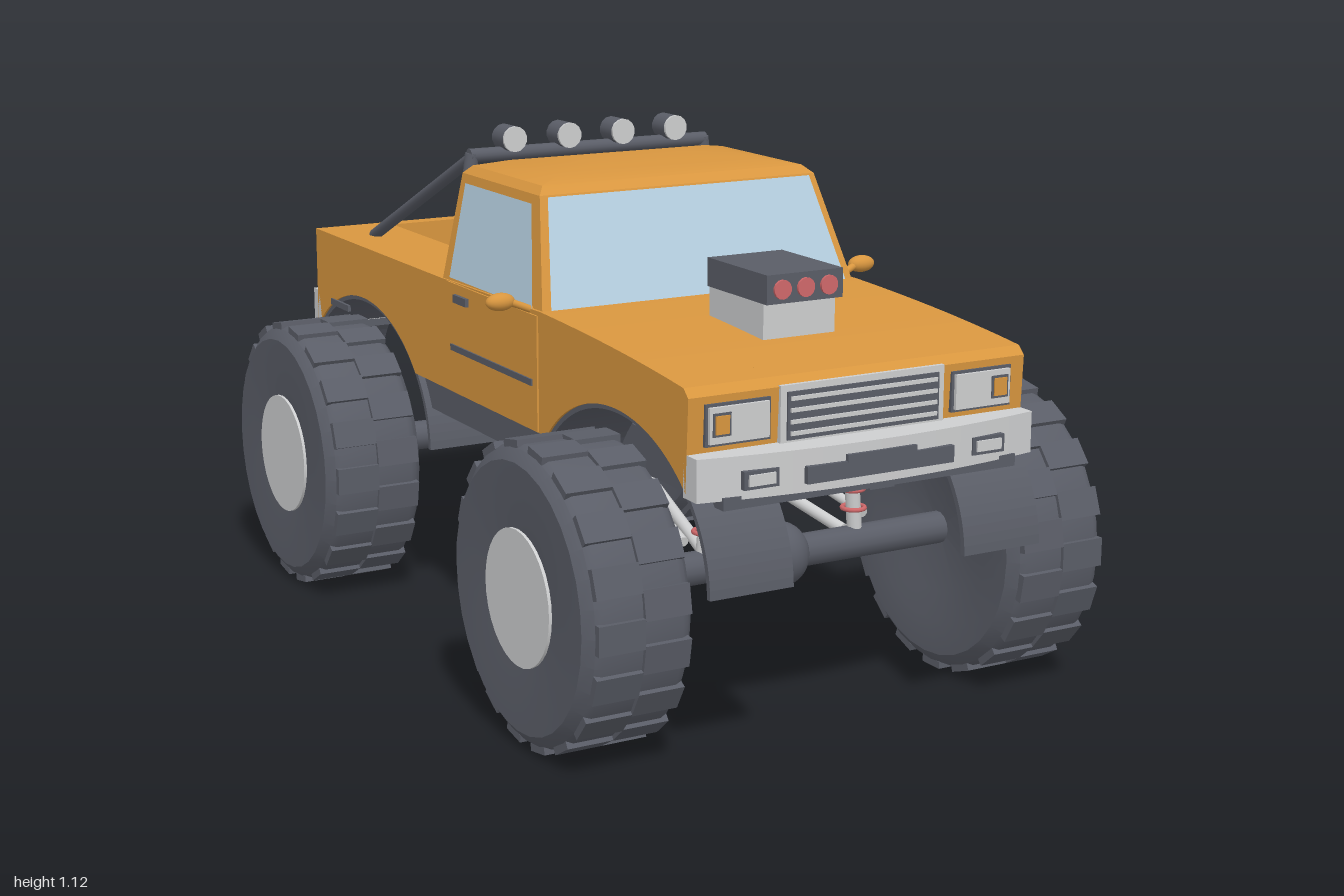
import * as THREE from 'three';
import { mergeGeometries, toCreasedNormals } from 'three/addons/utils/BufferGeometryUtils.js';

const flat = (name, color) => Object.assign(new THREE.MeshStandardMaterial({ color }), { name });

export function createModel() {
  const paint = flat('orange paint', 0xd8963f);
  const dark = flat('dark grey', 0x5a5d67);
  const light = flat('light grey', 0xcdcecf);
  const glass = flat('window glass', 0xb5cfe0);
  const red = flat('red', 0xd0686a);
  const root = new THREE.Group();
  root.name = 'monsterTruck';

  const add = (name, geo, mat, parent = root) => {
    const m = new THREE.Mesh(geo, mat);
    m.name = name;
    parent.add(m);
    return m;
  };
  // box given by its min and max on each axis
  const box = (name, mat, [x0, x1], [y0, y1], [z0, z1], parent = root) => {
    const m = add(name, new THREE.BoxGeometry(Math.abs(x1 - x0), y1 - y0, Math.abs(z1 - z0)), mat, parent);
    m.position.set((x0 + x1) / 2, (y0 + y1) / 2, (z0 + z1) / 2);
    return m;
  };
  // round bar between two points
  const rod = (name, mat, a, b, r, parent = root) => {
    const p = new THREE.Vector3(...a), q = new THREE.Vector3(...b);
    const m = add(name, new THREE.CylinderGeometry(r, r, p.distanceTo(q), 14), mat, parent);
    m.position.copy(p).lerp(q, 0.5);
    m.quaternion.setFromUnitVectors(new THREE.Vector3(0, 1, 0), q.sub(p).normalize());
    return m;
  };
  // side profile (z, y) extruded from x0 to x1
  const slab = (shape, x0, x1) => new THREE.ExtrudeGeometry(shape, { depth: x1 - x0, bevelEnabled: false, curveSegments: 24 })
    .rotateY(-Math.PI / 2).translate(x1, 0, 0);

  // lower body: side walls plus a centre section with the bed sunk into it
  const profile = (bed) => {
    const s = new THREE.Shape();
    s.moveTo(0.915, 0.568);
    s.absellipse(0.63, 0.375, 0.365, 0.3, 0.7, Math.PI - 0.6226, false);
    s.absellipse(-0.63, 0.375, 0.365, 0.3, 0.6226, Math.PI - 0.7, false);
    s.lineTo(-0.925, 0.568);
    s.lineTo(-0.925, 0.8);
    if (bed) for (const [z, y] of [[-0.885, 0.8], [-0.885, 0.7], [-0.18, 0.7], [-0.18, 0.8]]) s.lineTo(z, y);
    else s.lineTo(-0.18, 0.8);
    s.lineTo(0.31, 0.81);
    s.quadraticCurveTo(0.65, 0.8, 0.9, 0.772);
    s.lineTo(0.918, 0.755);
    return s;
  };
  add('bodyCentre', slab(profile(true), -0.2, 0.2), paint);
  add('bodySideLeft', slab(profile(false), 0.2, 0.39), paint);
  add('bodySideRight', slab(profile(false), -0.39, -0.2), paint);

  // cab: rectangular cross-sections stacked upwards, [y, halfWidth, zFront, zBack]
  const rings = [[0.79, 0.387, 0.314, -0.181], [1.035, 0.34, 0.213, -0.165], [1.052, 0.322, 0.19, -0.15],
    [1.064, 0.25, 0.13, -0.11], [1.07, 0.13, 0.07, -0.06]]
    .map(([y, x, f, b]) => [[x, y, f], [x, y, b], [-x, y, b], [-x, y, f]]);
  const quads = (list) => {
    const g = new THREE.BufferGeometry();
    g.setAttribute('position', new THREE.Float32BufferAttribute(list.flatMap(([a, b, c, d]) => [a, b, c, a, c, d]).flat(), 3));
    g.computeVertexNormals();
    return g;
  };
  const cab = [];
  for (let i = 0; i < rings.length - 1; i++) {
    for (let k = 0; k < 4; k++) {
      const n = (k + 1) % 4;
      cab.push([rings[i][k], rings[i][n], rings[i + 1][n], rings[i + 1][k]]);
    }
  }
  cab.push(rings[4]);
  add('cab', toCreasedNormals(quads(cab), 0.45), paint);

  // windows: panels laid just over the four cab faces
  ['leftWindow', 'rearWindow', 'rightWindow', 'windshield'].forEach((name, k) => {
    const c = cab[k].map((p) => new THREE.Vector3(...p));
    const out = c[1].clone().sub(c[0]).cross(c[3].clone().sub(c[0])).normalize().multiplyScalar(0.004);
    const at = (u, v) => c[0].clone().lerp(c[1], u).lerp(c[3].clone().lerp(c[2], u), v).add(out).toArray();
    const [u0, u1] = [[0.08, 0.92], [0.05, 0.95], [0.08, 0.92], [0.025, 0.975]][k];
    const top = k === 3 ? 0.98 : 0.92;
    add(name, quads([[at(u0, 0.07), at(u1, 0.07), at(u1, top), at(u0, top)]]), glass);
  });

  // doors, stripes, mirrors, roll bar, chassis sides: mirrored
  for (const s of [1, -1]) {
    const side = s > 0 ? 'left' : 'right';
    box(side + 'Door', paint, [s * 0.385, s * 0.394], [0.552, 0.8], [-0.145, 0.3]);
    box(side + 'DoorStripe', dark, [s * 0.39, s * 0.398], [0.648, 0.662], [-0.12, 0.28]);
    box(side + 'BedStripe', dark, [s * 0.387, s * 0.394], [0.625, 0.64], [-0.83, -0.72]);
    box(side + 'DoorHandle', dark, [s * 0.39, s * 0.402], [0.76, 0.778], [-0.095, -0.03]);
    rod(side + 'MirrorArm', paint, [s * 0.37, 0.8, 0.26], [s * 0.43, 0.825, 0.25], 0.008);
    const mirror = add(side + 'Mirror', new THREE.SphereGeometry(1, 20, 12), paint);
    mirror.scale.set(0.033, 0.019, 0.02);
    mirror.position.set(s * 0.45, 0.826, 0.245);
    rod(side + 'RollBarPost', dark, [s * 0.335, 0.78, -0.205], [s * 0.298, 1.07, -0.205], 0.016);
    rod(side + 'RollBarBrace', dark, [s * 0.298, 1.06, -0.205], [s * 0.298, 0.8, -0.77], 0.014);
    box(side + 'FrameRail', dark, [s * 0.14, s * 0.2], [0.465, 0.56], [-0.75, 0.75]);
    box(side + 'Sill', dark, [s * 0.26, s * 0.37], [0.475, 0.556], [-0.32, 0.32]);
  }
  rod('rollBarTop', dark, [-0.305, 1.065, -0.205], [0.305, 1.065, -0.205], 0.016);
  for (const x of [-0.207, -0.069, 0.069, 0.207]) {
    rod('roofLampHousing', dark, [x, 1.1, -0.23], [x, 1.1, -0.175], 0.029);
    rod('roofLampLens', light, [x, 1.1, -0.175], [x, 1.1, -0.168], 0.029);
  }

  // supercharger on the hood
  box('blowerBase', light, [-0.085, 0.085], [0.78, 0.866], [0.48, 0.69]);
  box('blowerScoop', dark, [-0.09, 0.09], [0.866, 0.926], [0.48, 0.71]);
  for (const x of [-0.055, 0, 0.055]) rod('intakePort', red, [x, 0.895, 0.7], [x, 0.895, 0.716], 0.02);

  // grille and headlights
  box('grilleFrame', light, [-0.19, 0.19], [0.645, 0.758], [0.9, 0.924]);
  box('grilleBack', dark, [-0.176, 0.176], [0.65, 0.745], [0.92, 0.928]);
  for (let i = 0; i < 4; i++) box('grilleSlat', light, [-0.17, 0.17], [0.659 + i * 0.023, 0.667 + i * 0.023], [0.926, 0.932]);
  for (const s of [1, -1]) {
    box('headlightFrame', dark, [s * 0.211, s * 0.355], [0.657, 0.74], [0.9, 0.922]);
    box('headlight', light, [s * 0.217, s * 0.349], [0.663, 0.734], [0.92, 0.929]);
    box('markerLampFrame', dark, [s * 0.303, s * 0.343], [0.677, 0.723], [0.926, 0.931]);
    box('markerLamp', paint, [s * 0.308, s * 0.338], [0.682, 0.718], [0.929, 0.934]);
    box('tailLightFrame', dark, [s * 0.295, s * 0.382], [0.645, 0.765], [-0.932, -0.92]);
    box('tailLight', red, [s * 0.305, s * 0.372], [0.657, 0.753], [-0.937, -0.93]);
  }

  // bumpers, front and rear
  const plan = new THREE.Shape();
  plan.moveTo(-0.39, 0.9);
  plan.lineTo(-0.39, 0.95);
  plan.quadraticCurveTo(0, 1.025, 0.39, 0.95);
  plan.lineTo(0.39, 0.9);
  const bumperGeo = new THREE.ExtrudeGeometry(plan, { depth: 0.085, bevelEnabled: false, curveSegments: 12 })
    .rotateX(Math.PI / 2).translate(0, 0.645, 0);
  for (const end of [1, -1]) {
    const g = new THREE.Group();
    g.name = end > 0 ? 'frontBumper' : 'rearBumper';
    if (end < 0) g.rotation.y = Math.PI;
    root.add(g);
    add('bumperBar', bumperGeo, light, g);
    box('bumperPlate', dark, [-0.17, 0.17], [0.578, 0.612], [0.95, 0.992], g);
    box('bumperPlateTop', dark, [-0.08, 0.08], [0.61, 0.625], [0.95, 0.994], g);
    box('bumperStrip', dark, [-0.34, 0.34], [0.542, 0.567], [0.9, 0.965], g);
    if (end > 0) for (const s of [1, -1]) {
      box('fogLampFrame', dark, [s * 0.225, s * 0.302], [0.58, 0.616], [0.94, 0.978], g);
      box('fogLamp', light, [s * 0.234, s * 0.293], [0.587, 0.609], [0.94, 0.982], g);
    }
  }

  // tyre: revolved section with staggered tread blocks
  const section = [[0.02, -0.09], [0.14, -0.1], [0.2, -0.115], [0.275, -0.1175], [0.298, -0.1], [0.305, -0.085],
    [0.305, 0.085], [0.298, 0.1], [0.275, 0.1175], [0.2, 0.115], [0.14, 0.11], [0.02, 0.1]];
  const tyreGeo = toCreasedNormals(new THREE.LatheGeometry(section.map((p) => new THREE.Vector2(...p)), 32)
    .rotateZ(-Math.PI / 2), 0.5);
  const lugs = [];
  for (let i = 0; i < 36; i++) {
    lugs.push(new THREE.BoxGeometry(0.1, 0.016, 0.06).translate(i % 2 ? 0.05 : -0.05, 0.304, 0)
      .rotateX(i * Math.PI / 18));
  }
  const lugGeo = mergeGeometries(lugs);

  // wheel well liner, running down into mud flaps
  const arc = new THREE.Shape();
  arc.absellipse(0, 0.375, 0.365, 0.3, 0.02, Math.PI - 0.02, false);
  arc.absellipse(0, 0.375, 0.353, 0.29, Math.PI - 0.02, 0.02, true);
  const linerGeo = slab(arc, -0.0925, 0.0925);

  for (const end of [1, -1]) {
    const z = end * 0.63, tag = end > 0 ? 'front' : 'rear';
    rod(tag + 'Axle', dark, [-0.42, 0.318, z], [0.42, 0.318, z], 0.035);
    const diff = add(tag + 'Differential', new THREE.SphereGeometry(1, 24, 16), dark);
    diff.scale.set(0.06, 0.068, 0.065);
    diff.position.set(0, 0.318, z);
    rod(tag + 'DriveShaft', light, [0, 0.34, z - end * 0.04], [0, 0.46, end * 0.06], 0.016);
    for (const s of [1, -1]) {
      const wheel = new THREE.Group();
      wheel.name = tag + (s > 0 ? 'LeftWheel' : 'RightWheel');
      wheel.position.set(s * 0.4925, 0.318, z);
      if (s < 0) wheel.rotation.y = Math.PI;
      root.add(wheel);
      add('tyre', tyreGeo, dark, wheel);
      add('tread', lugGeo, dark, wheel);
      rod('hub', light, [0.05, 0, 0], [0.1165, 0, 0], 0.14, wheel).geometry = new THREE.CylinderGeometry(0.14, 0.14, 0.0665, 32);
      add(tag + 'WheelWell', linerGeo, dark).position.set(s * 0.2925, 0, z);
      // spring, shock and suspension links
      const foot = new THREE.Vector3(s * 0.185, 0.34, z), head = new THREE.Vector3(s * 0.168, 0.55, z);
      rod(tag + 'Shock', light, foot.toArray(), head.toArray(), 0.016);
      for (let i = 0; i < 4; i++) {
        const coil = add(tag + 'Coil', new THREE.TorusGeometry(0.024, 0.005, 8, 18).rotateX(Math.PI / 2), red);
        coil.position.copy(foot).lerp(head, 0.25 + i * 0.2);
      }
      rod(tag + 'LowerLink', light, [s * 0.17, 0.34, z - end * 0.02], [s * 0.08, 0.455, end * 0.07], 0.013);
      rod(tag + 'UpperLink', light, [s * 0.22, 0.37, z - end * 0.02], [s * 0.16, 0.48, end * 0.1], 0.011);
    }
  }
  box('transferCase', dark, [-0.067, 0.067], [0.4, 0.51], [-0.085, 0.085]);
  box('transferMount', dark, [-0.2, 0.2], [0.5, 0.53], [-0.04, 0.04]);
  return root;
}
